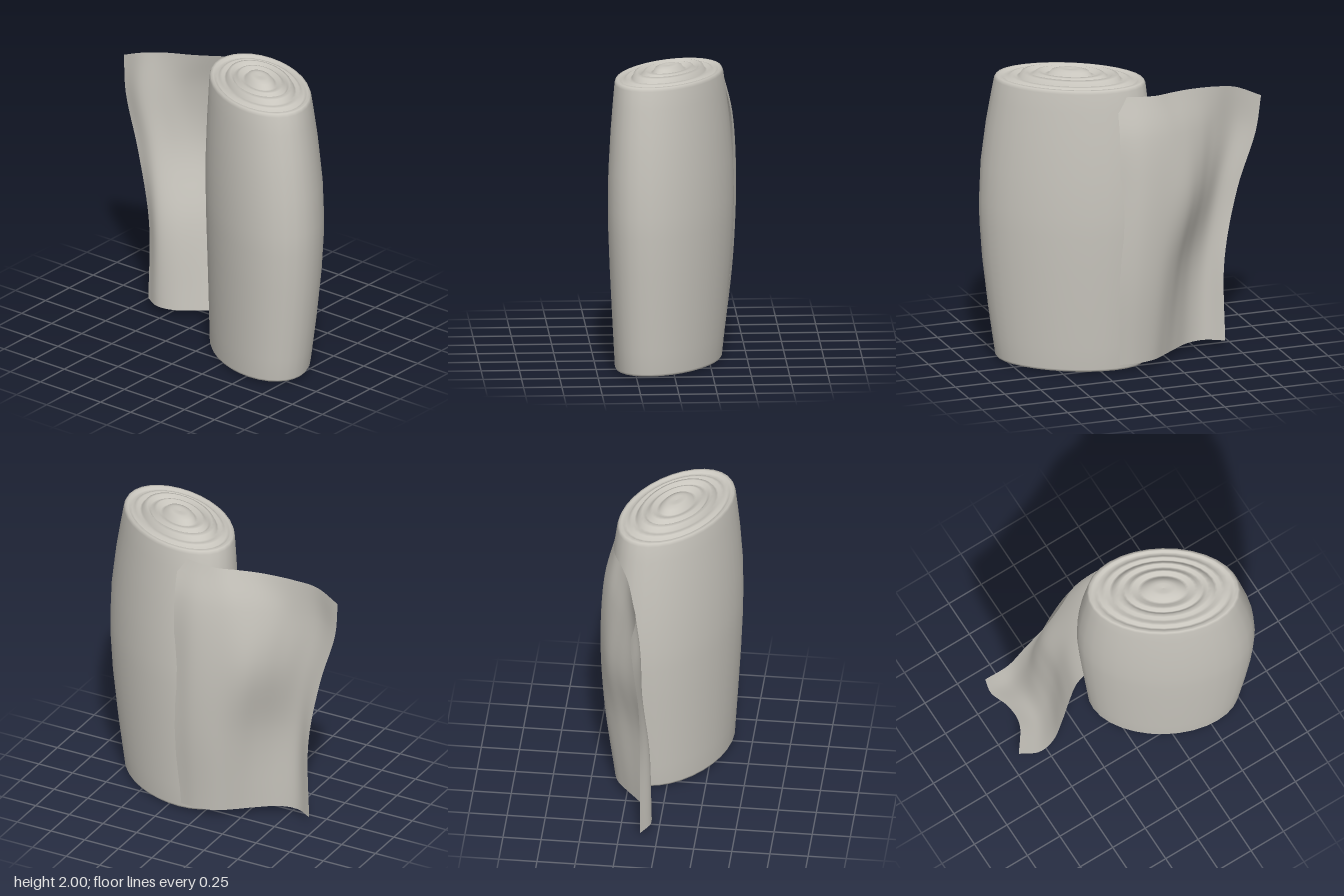
import * as THREE from 'three';

// Smooth curve through control points
const spline = (pts) => new THREE.CatmullRomCurve3(pts, false, 'centripetal');

export function createModel() {
  const group = new THREE.Group();
  const cloth = new THREE.MeshStandardMaterial({ color: 0xc8c5bd, side: THREE.DoubleSide });
  cloth.name = 'warm grey cloth';

  // Rolled cloth: bulging lathe with wound ridges on both ends, [radius, y]
  const bottom = [
    [0, 0], [0.11, 0], [0.17, 0.008], [0.25, 0.03], [0.31, 0.015], [0.36, 0.005], [0.4, 0.02], [0.44, 0.035],
    [0.48, 0.02], [0.53, 0.01], [0.56, 0.025], [0.6, 0.035], [0.64, 0.02], [0.68, 0.017], [0.72, 0.035],
    [0.76, 0.035], [0.79, 0.018],
  ];
  const side = [
    [0.835, 0.015], [0.852, 0.03], [0.88, 0.18], [0.915, 0.37], [0.968, 0.7], [0.995, 0.95], [1, 1.1],
    [0.988, 1.35], [0.94, 1.62], [0.895, 1.8], [0.862, 1.92], [0.84, 1.942],
  ];
  const top = [
    [0.8, 1.945], [0.77, 1.932], [0.73, 1.925], [0.69, 1.945], [0.65, 1.95], [0.61, 1.935], [0.58, 1.94],
    [0.55, 1.97], [0.5, 1.977], [0.46, 1.955], [0.43, 1.95], [0.39, 1.975], [0.35, 1.98], [0.29, 1.958],
    [0.25, 1.96], [0.21, 1.988], [0.14, 1.998], [0.09, 2], [0, 1.995],
  ];
  const profile = [...bottom, ...side, ...top].map(([r, y]) => new THREE.Vector2(r, y));
  const rollGeo = new THREE.LatheGeometry(profile, 32);
  rollGeo.scale(0.58, 1, 0.35);
  rollGeo.rotateY(-THREE.MathUtils.degToRad(31));
  const rp = rollGeo.attributes.position;
  for (let i = 0; i < rp.count; i++) {
    // the middle of the roll leans slightly sideways
    const k = Math.sin((Math.PI * rp.getY(i)) / 2);
    rp.setX(i, rp.getX(i) + 0.35 + 0.03 * k);
    rp.setZ(i, rp.getZ(i) + 0.02 - 0.015 * k);
  }
  const roll = new THREE.Mesh(rollGeo, cloth);
  roll.name = 'clothRoll';
  group.add(roll);

  // Loose sheet: wavy cross-sections [x, z] at rising heights, from the roll outwards
  const rows = [
    { v: 0, p: [[0.16, -0.34], [0.03, -0.35], [-0.1, -0.32], [-0.2, -0.25], [-0.31, -0.16], [-0.44, -0.07], [-0.56, -0.05], [-0.68, -0.11]] },
    { v: 0.33, p: [[0.16, -0.4], [0.02, -0.42], [-0.13, -0.39], [-0.25, -0.31], [-0.35, -0.2], [-0.46, -0.1], [-0.57, -0.06], [-0.675, -0.11]] },
    { v: 0.62, p: [[0.16, -0.41], [0.01, -0.44], [-0.18, -0.41], [-0.33, -0.36], [-0.43, -0.28], [-0.53, -0.18], [-0.64, -0.1], [-0.765, -0.11]] },
    { v: 0.85, p: [[0.16, -0.4], [0, -0.415], [-0.18, -0.38], [-0.32, -0.32], [-0.46, -0.24], [-0.59, -0.16], [-0.74, -0.1], [-0.885, -0.13]] },
    { v: 1, p: [[0.16, -0.34], [0, -0.35], [-0.12, -0.335], [-0.24, -0.28], [-0.39, -0.22], [-0.6, -0.165], [-0.75, -0.13], [-0.915, -0.15]] },
  ];
  const topY = [1.89, 1.878, 1.868, 1.858, 1.845, 1.822, 1.79, 1.72];
  const curves = rows.map(({ v, p }) =>
    spline(p.map(([x, z], i) => new THREE.Vector3(x, 0.05 + v * (topY[i] - 0.05), z))));

  const nu = 36, nv = 24;
  const sheetGeo = new THREE.PlaneGeometry(1, 1, nu, nv);
  const sp = sheetGeo.attributes.position;
  for (let i = 0; i <= nu; i++) {
    const column = spline(curves.map((c) => c.getPoint(i / nu)));
    for (let j = 0; j <= nv; j++) {
      const q = column.getPoint(1 - j / nv);
      sp.setXYZ(j * (nu + 1) + i, q.x, q.y, q.z);
    }
  }
  sheetGeo.computeVertexNormals();
  const sheet = new THREE.Mesh(sheetGeo, cloth);
  sheet.name = 'looseSheet';
  group.add(sheet);

  return group;
}
